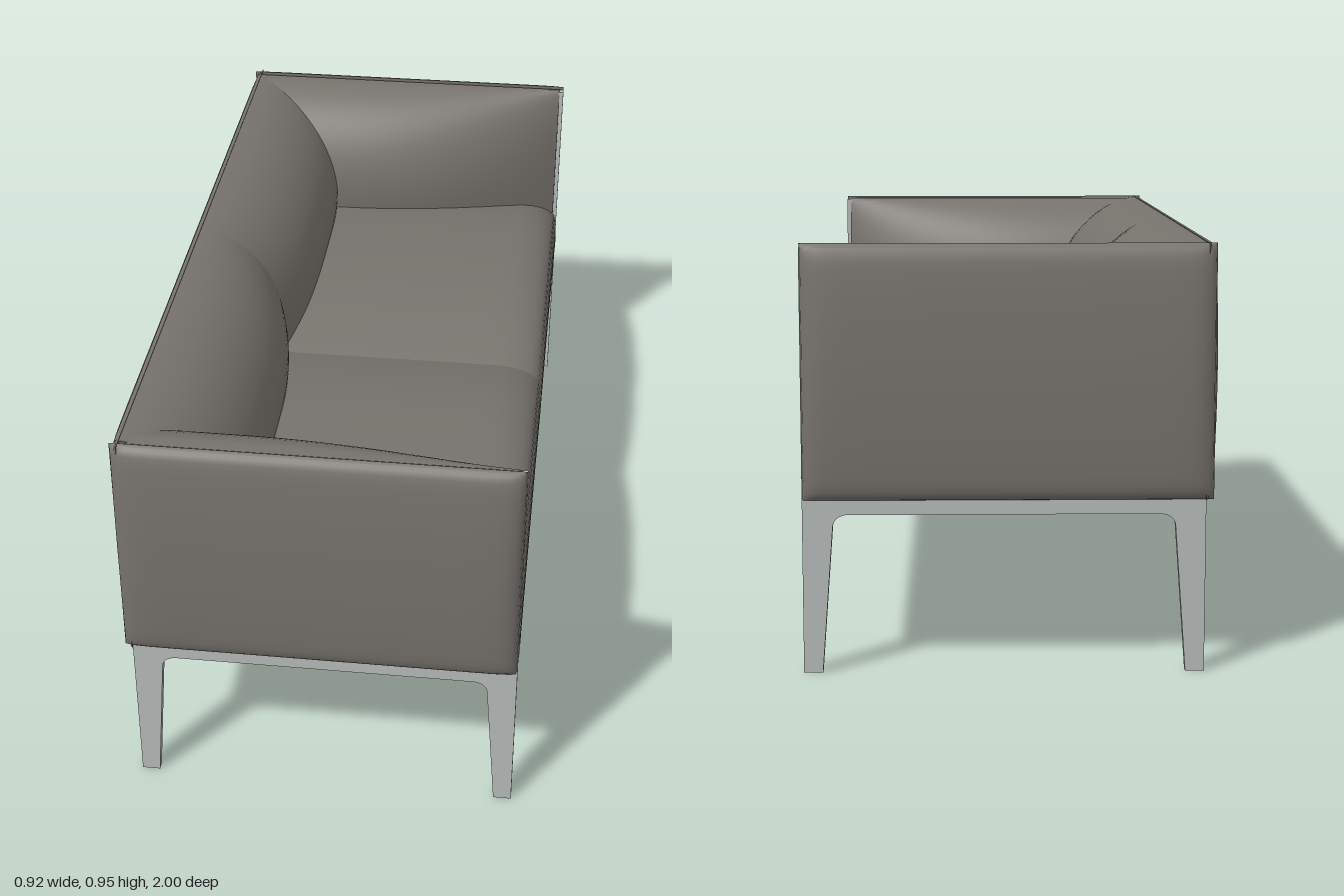
import * as THREE from 'three';
import { mergeVertices, toCreasedNormals } from 'three/addons/utils/BufferGeometryUtils.js';

const fabric = new THREE.MeshStandardMaterial({ color: 0x76726c });
fabric.name = 'greyBrownFabric';
const metal = new THREE.MeshStandardMaterial({ color: 0xb4b9b7 });
metal.name = 'paleMetal';

const clamp01 = (t) => Math.min(1, Math.max(0, t));
// Rounds an edge off as |t| nears 1
const round = (t, power = 20) => Math.sqrt(Math.max(0, 1 - Math.abs(t) ** power));

// Smooth cushion: a subdivided box, denser near its edges, reshaped by a rule
function cushion(name, segments, rule) {
  let geo = new THREE.BoxGeometry(2, 2, 2, ...segments);
  geo.deleteAttribute('normal');
  geo.deleteAttribute('uv');
  geo = mergeVertices(geo);
  const p = geo.attributes.position;
  const ease = (t) => Math.sin(t * Math.PI / 2);
  for (let i = 0; i < p.count; i++) {
    p.setXYZ(i, ...rule(ease(p.getX(i)), ease(p.getY(i)), ease(p.getZ(i))));
  }
  const mesh = new THREE.Mesh(toCreasedNormals(geo, 0.75), fabric);
  mesh.name = name;
  return mesh;
}

// Inner bulge of the arms and back: thin on top, full just above the seat
function bulge(y) {
  const d = y - 0.68;
  return d > 0 ? Math.max(0.04, Math.sqrt(Math.max(0, 1 - (d / 0.27) ** 2))) : 1 - 0.5 * (d / 0.3) ** 2;
}

function seatCushion(side) {
  return cushion('seatCushion', [28, 10, 28], (u, v, w) => {
    const t = w * side;
    const z = side * 0.475 * (1 + t);
    const x = 0.015 + 0.437 * u;
    const crown = 1 - Math.abs(t) ** 2.4;
    const edge = t > 0 ? 0.58 : 0.597;
    const front = clamp01((x - 0.34) / 0.112);
    const top = edge + (0.658 - edge) * crown - 0.055 * (1 - Math.sqrt(1 - front * front));
    const belly = u > 0 ? 0.006 * (1 - v * v) * u ** 4 : 0;
    return [x + belly, 0.389 + (top - 0.389) * (v + 1) / 2, z];
  });
}

function backCushion(side) {
  return cushion('backCushion', [2, 28, 28], (u, v, w) => {
    const t = w * side;
    const y = 0.67 + 0.28 * v;
    const depth = 0.22 + 0.05 * (1 - Math.abs(t) ** 3);
    return [-0.44 + depth * bulge(y) * (u + 1) / 2, y, side * 0.475 * (1 + t)];
  });
}

function armCushion(side) {
  return cushion('armCushion', [28, 28, 2], (u, v, w) => {
    const x = 0.005 + 0.44 * u;
    const y = 0.72 + 0.227 * v;
    const depth = 0.025 + 0.195 * (1 - clamp01((x + 0.2) / 0.65) ** 2.2);
    const inward = (1 - w * side) / 2;
    return [x, y, side * (0.955 - depth * bulge(y) * inward)];
  });
}

function armPanel(side) {
  return cushion('armOuterPanel', [24, 24, 2], (u, v, w) => {
    const thick = (0.023 + 0.014 * (1 - v * v)) * round(u) * round(v);
    const outward = (1 + w * side) / 2;
    return [0.003 + 0.452 * u, 0.67 + 0.282 * v, side * (0.963 + thick * outward)];
  });
}

function backPanel() {
  return cushion('backOuterPanel', [2, 24, 32], (u, v, w) => {
    const thick = (0.02 + 0.01 * (1 - v * v)) * round(v) * round(w, 30);
    return [-0.43 - thick * (1 - u) / 2, 0.67 + 0.282 * v, 0.98 * w];
  });
}

// End frame: tapered legs, crossbar and the front post holding the arm
function endFrame(side) {
  const s = new THREE.Shape();
  s.moveTo(-0.432, 0);
  s.lineTo(-0.39, 0);
  s.lineTo(-0.365, 0.33);
  s.quadraticCurveTo(-0.363, 0.352, -0.335, 0.356);
  s.lineTo(0.36, 0.356);
  s.quadraticCurveTo(0.386, 0.352, 0.389, 0.33);
  s.lineTo(0.414, 0);
  s.lineTo(0.456, 0);
  s.lineTo(0.456, 0.943);
  s.lineTo(0.442, 0.943);
  s.lineTo(0.442, 0.392);
  s.lineTo(-0.432, 0.392);
  s.closePath();
  const geo = new THREE.ExtrudeGeometry(s, { depth: 0.02, bevelEnabled: false, curveSegments: 8 });
  const mesh = new THREE.Mesh(geo, metal);
  mesh.name = 'endFrame';
  mesh.position.z = side * 0.955 - 0.01;
  return mesh;
}

export function createModel() {
  const sofa = new THREE.Group();
  sofa.name = 'twoSeatSofa';

  for (const side of [1, -1]) {
    sofa.add(seatCushion(side), backCushion(side), armCushion(side), armPanel(side), endFrame(side));
  }
  sofa.add(backPanel());

  // Long rails under the seat
  for (const [name, x] of [['frontRail', 0.432], ['backRail', -0.418]]) {
    const rail = new THREE.Mesh(new THREE.BoxGeometry(0.024, 0.032, 1.9), metal);
    rail.name = name;
    rail.position.set(x, 0.375, 0);
    sofa.add(rail);
  }
  return sofa;
}
